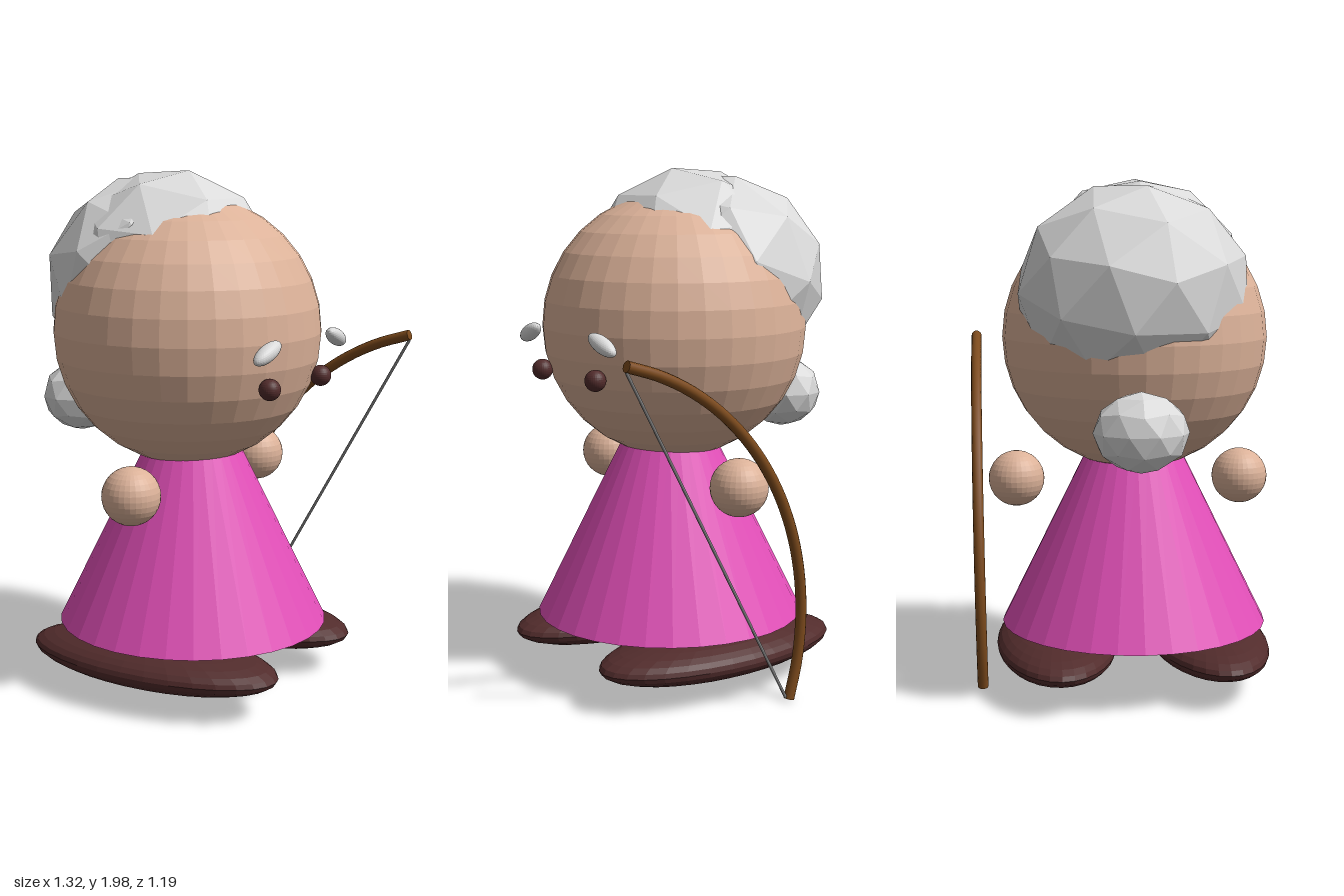
import * as THREE from 'three';

const material = (name, color, flatShading = true) => {
  const m = new THREE.MeshStandardMaterial({ color, flatShading });
  m.name = name;
  return m;
};

export function createModel() {
  const model = new THREE.Group();
  const skin = material('skin', 0xdcb299);
  const hair = material('silver hair', 0xdadada);
  const pink = material('pink cloth', 0xe24fb8);
  const brown = material('dark brown', 0x522c2c);
  const wood = material('wood', 0x7c4a1c, false);
  const grey = material('grey cord', 0x858585, false);

  const add = (name, geometry, mat, position = [0, 0, 0], scale = [1, 1, 1], rotation = [0, 0, 0]) => {
    const mesh = new THREE.Mesh(geometry, mat);
    mesh.name = name;
    mesh.position.set(...position);
    mesh.scale.set(...scale);
    mesh.rotation.set(...rotation);
    model.add(mesh);
    return mesh;
  };
  const ball = new THREE.SphereGeometry(1, 32, 16);
  // Faceted ball with a corner pointing straight up
  const lump = new THREE.IcosahedronGeometry(1, 1).rotateZ(Math.atan(2 / (1 + Math.sqrt(5))));

  // Body
  add('head', ball, skin, [0.005, 1.39, 0.06], [0.515, 0.515, 0.515]);
  add('dress', new THREE.CylinderGeometry(0.18, 0.525, 0.7, 32), pink, [0.03, 0.6, 0.06]);

  // Hands and shoes
  add('leftHand', ball, skin, [0.04, 0.825, -0.405], [0.11, 0.11, 0.11]);
  add('rightHand', ball, skin, [0.04, 0.825, 0.485], [0.11, 0.11, 0.11]);
  add('leftShoe', ball, brown, [0.022, 0.16, -0.252], [0.528, 0.09, 0.237], [0, 0.012, 0]);
  add('rightShoe', ball, brown, [0.04, 0.16, 0.355], [0.528, 0.09, 0.235], [0, 0.054, 0]);

  // Face, looking along +x; brows rise towards the middle
  for (const [side, s, eyeZ, browZ] of [['left', -1, -0.125, -0.205], ['right', 1, 0.255, 0.308]]) {
    add(side + 'Eye', ball, brown, [0.488, 1.23, eyeZ], [0.04, 0.04, 0.04]);
    add(side + 'Brow', ball, hair, [0.508, 1.37, browZ], [0.032, 0.03, 0.076], [s * 0.4, -s * 0.1, 0]);
  }

  // Two overlapping masses of hair and a bun
  add('backHair', lump, hair, [-0.165, 1.57, 0.04], [0.415, 0.415, 0.455], [0, 0.3, 0.35]);
  add('topHair', lump, hair, [-0.08, 1.575, 0.06], [0.428, 0.428, 0.415], [0, 0, -0.22]);
  add('bun', lump, hair, [-0.525, 1.085, 0.04], [0.148, 0.148, 0.175]);

  // Bow: a circular arc of wood closed by a straight cord
  const foot = new THREE.Vector3(-0.095, 0.015, -0.546);
  const tip = new THREE.Vector3(0.645, 1.345, -0.57);
  const chord = tip.clone().sub(foot);
  const middle = foot.clone().lerp(tip, 0.5);
  const along = chord.clone().normalize();
  const outward = new THREE.Vector3(-along.y, along.x, 0).normalize();
  const half = 0.82;
  const radius = chord.length() / 2 / Math.sin(half);
  const points = [];
  for (let i = 0; i <= 12; i++) {
    const a = half * (i / 6 - 1);
    points.push(middle.clone()
      .addScaledVector(along, radius * Math.sin(a))
      .addScaledVector(outward, radius * (Math.cos(a) - Math.cos(half))));
  }
  const stave = new THREE.CatmullRomCurve3(points);
  add('bowStave', new THREE.TubeGeometry(stave, 40, 0.021, 12), wood);
  for (const [name, t, dir] of [['lowerBowCap', 0, -1], ['upperBowCap', 1, 1]]) {
    const cap = add(name, new THREE.CircleGeometry(0.021, 12), wood, stave.getPoint(t).toArray());
    cap.lookAt(cap.position.clone().addScaledVector(stave.getTangent(t), dir));
  }
  const cord = new THREE.LineCurve3(foot.clone().lerp(tip, 0.01).addScaledVector(outward, -0.01),
    foot.clone().lerp(tip, 0.99).addScaledVector(outward, -0.01));
  add('bowString', new THREE.TubeGeometry(cord, 1, 0.006, 8), grey);

  return model;
}
